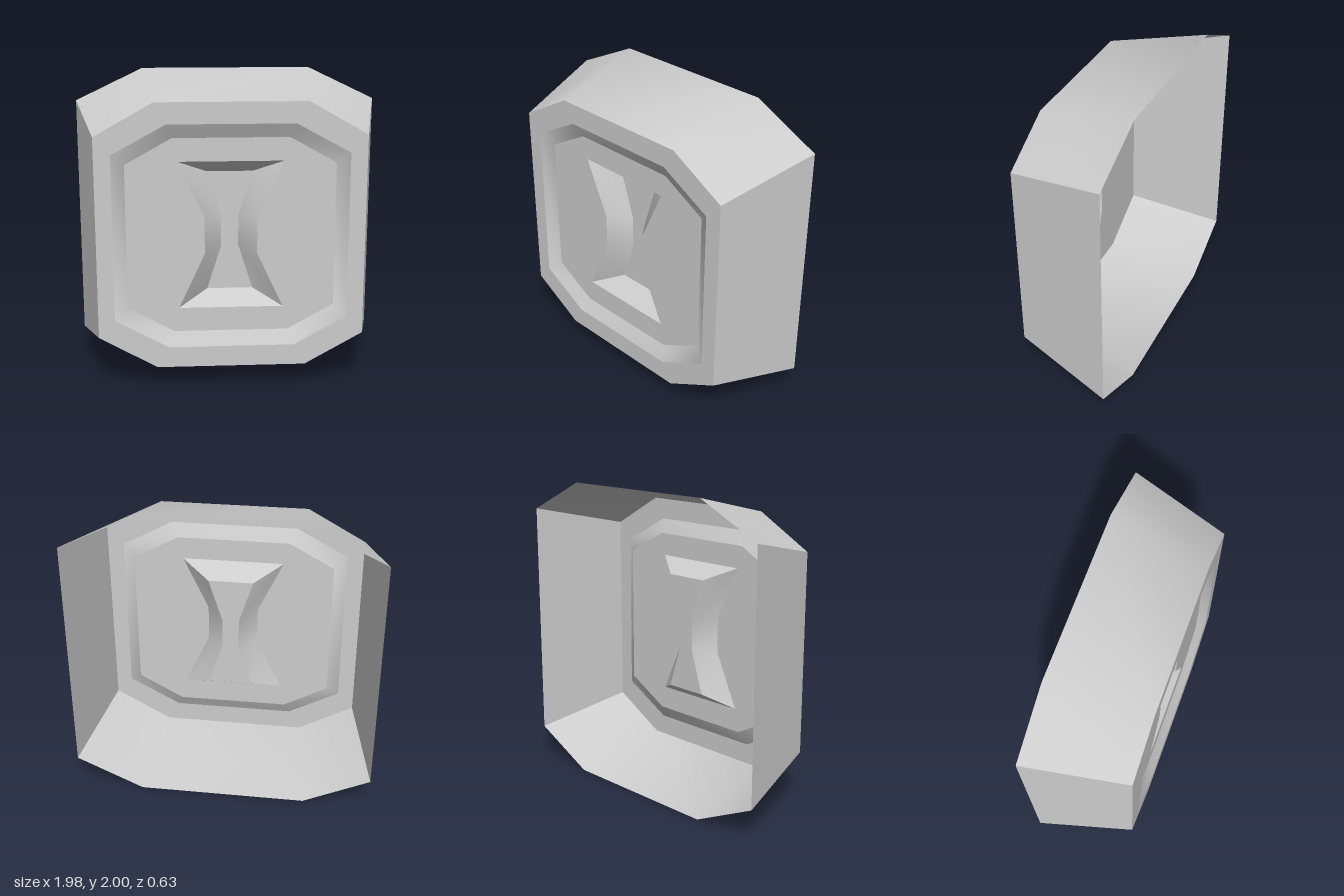
import * as THREE from 'three';
import { toCreasedNormals } from 'three/addons/utils/BufferGeometryUtils.js';

const CY = 1; // height of the model's centre

// Outlines run counter-clockwise seen from the front, mirrored on both axes.
function octagon(x1, y1, x2, y2, z) {
  return [[x2, y2], [x1, y1], [-x1, y1], [-x2, y2], [-x2, -y2], [-x1, -y1], [x1, -y1], [x2, -y2]]
    .map(([x, y]) => new THREE.Vector3(x, CY + y, z));
}

function hourglass(x1, y1, x2, y2, z) {
  return [[x1, y1], [-x1, y1], [-x2, y2], [-x2, -y2], [-x1, -y1], [x1, -y1], [x2, -y2], [x2, y2]]
    .map(([x, y]) => new THREE.Vector3(x, CY + 0.004 + y, z));
}

// Sloping band joining two outlines; shallow corners are smooth, steep ones sharp.
function band(a, b) {
  const points = [];
  a.forEach((p, i) => {
    const j = (i + 1) % a.length;
    points.push(p, a[j], b[j], p, b[j], b[i]);
  });
  return toCreasedNormals(new THREE.BufferGeometry().setFromPoints(points), 0.6);
}

// Flat front-facing plate with an optional opening.
function plate(outline, hole) {
  const flat = (ring) => ring.map((p) => new THREE.Vector2(p.x, p.y));
  const shape = new THREE.Shape(flat(outline));
  if (hole) shape.holes.push(new THREE.Path(flat(hole)));
  return new THREE.ShapeGeometry(shape).translate(0, 0, outline[0].z);
}

export function createModel() {
  const group = new THREE.Group();
  const grey = new THREE.MeshStandardMaterial({ color: 0xcccccc, side: THREE.DoubleSide });
  grey.name = 'plain grey';
  const add = (name, geometry) => {
    const mesh = new THREE.Mesh(geometry, grey);
    mesh.name = name;
    group.add(mesh);
  };

  const back = octagon(0.55, 1, 0.99, 0.79, -0.317);
  const front = octagon(0.475, 0.853, 0.845, 0.645, 0.317);
  const bevelOuter = octagon(0.4, 0.718, 0.74, 0.533, 0.317);
  const bevelInner = octagon(0.365, 0.627, 0.66, 0.463, 0.267);
  const recessOuter = hourglass(0.332, 0.475, 0.166, 0.118, 0.267);
  const recessInner = hourglass(0.147, 0.388, 0.055, 0.1, 0.137);

  // Tapered shell, open at the back
  add('outerWall', band(back, front));
  add('frontRim', plate(front, bevelOuter));

  // Sunken panel
  add('panelBevel', band(bevelOuter, bevelInner));
  add('sunkenPanel', plate(bevelInner, recessOuter));

  // Hourglass-shaped recess
  add('recessWall', band(recessOuter, recessInner));
  add('recessFloor', plate(recessInner));

  return group;
}
